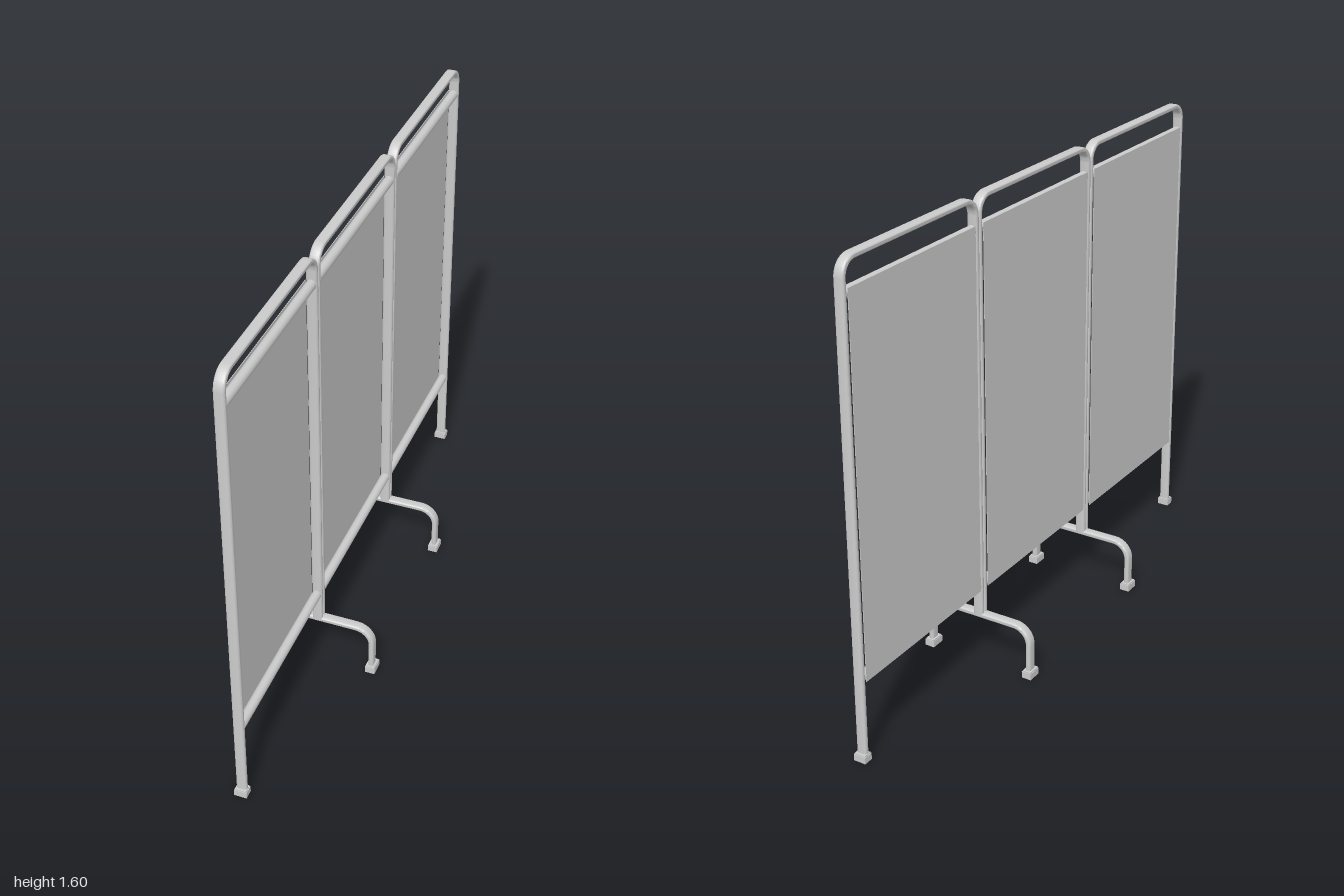
import * as THREE from 'three';
import { toCreasedNormals } from 'three/addons/utils/BufferGeometryUtils.js';

const WIDE = 0.017, THIN = 0.0085; // half sizes of the flat tube
const grey = new THREE.MeshStandardMaterial({ color: 0xcccccc });
const cloth = new THREE.MeshStandardMaterial({ color: 0xcccccc, side: THREE.DoubleSide });

function add(parent, geometry, name, x = 0, y = 0, z = 0, material = grey) {
  const mesh = new THREE.Mesh(geometry, material);
  mesh.name = name;
  mesh.position.set(x, y, z);
  parent.add(mesh);
  return mesh;
}

// Flat tube section with rounded corners: [along x, in the bending plane]
function tubeSection() {
  const r = 0.006, pts = [];
  [[1, 1], [-1, 1], [-1, -1], [1, -1]].forEach(([sx, sy], q) => {
    for (let i = 0; i <= 3; i++) {
      const a = (q + i / 3) * Math.PI / 2;
      pts.push([sx * (WIDE - r) + r * Math.cos(a), sy * (THIN - r) + r * Math.sin(a)]);
    }
  });
  return pts;
}

// Inverted U of flat tube in the zy plane, with its own height for each foot end
function hoop(z0, z1, bottom0, bottom1, top, radius) {
  const path = [[z0, bottom0, 0]]; // z, y, turn angle
  const arc = (cz, from) => {
    for (let i = 0; i <= 10; i++) {
      const t = from + (i / 10) * Math.PI / 2;
      path.push([cz - radius * Math.cos(t), top - radius + radius * Math.sin(t), t]);
    }
  };
  arc(z0 + radius, 0);
  arc(z1 - radius, Math.PI / 2);
  path.push([z1, bottom1, Math.PI]);

  const section = tubeSection(), n = section.length;
  const position = [], index = [];
  for (const [z, y, t] of path) {
    for (const [w, d] of section) position.push(w, y + d * Math.sin(t), z - d * Math.cos(t));
  }
  for (let i = 0; i < path.length - 1; i++) {
    for (let j = 0; j < n; j++) {
      const a = i * n + j, b = i * n + (j + 1) % n;
      index.push(a, a + n, b, b, a + n, b + n);
    }
  }
  // End caps
  const last = (path.length - 1) * n;
  for (let j = 1; j < n - 1; j++) index.push(0, j, j + 1, last, last + j + 1, last + j);

  const g = new THREE.BufferGeometry();
  g.setAttribute('position', new THREE.Float32BufferAttribute(position, 3));
  g.setIndex(index);
  // Make sure the faces point outwards
  const p = position, k = index;
  let volume = 0;
  for (let i = 0; i < k.length; i += 3) {
    const [a, b, c] = [0, 1, 2].map(m => new THREE.Vector3().fromArray(p, k[i + m] * 3));
    volume += a.dot(b.cross(c));
  }
  if (volume < 0) {
    for (let i = 0; i < k.length; i += 3) [k[i], k[i + 1]] = [k[i + 1], k[i]];
    g.setIndex(k);
  }
  return toCreasedNormals(g, 0.7);
}

// Rubber foot: a block with a slightly narrower collar
function foot(parent, x, z, sx, sz) {
  add(parent, new THREE.BoxGeometry(sx, 0.022, sz), 'foot', x, 0.011, z);
  add(parent, new THREE.BoxGeometry(sx - 0.004, 0.004, sz - 0.004), 'footCollar', x, 0.024, z);
}

function panel(name, z0, z1, bottom0, bottom1) {
  const g = new THREE.Group();
  g.name = name;
  add(g, hoop(z0, z1, bottom0, bottom1, 1.587, 0.052), 'frame');
  const mid = (z0 + z1) / 2, inner = z1 - z0 - 2 * THIN;
  // Rods holding the cloth, which hangs on their -x side
  for (const y of [0.289, 1.49]) {
    const rod = new THREE.CylinderGeometry(0.016, 0.016, inner, 24).rotateX(Math.PI / 2);
    add(g, rod, 'clothRod', 0, y, mid);
  }
  add(g, new THREE.BoxGeometry(0.002, 1.233, inner - 0.008), 'cloth', -0.0155, 0.8895, mid, cloth);
  return g;
}

export function createModel() {
  const model = new THREE.Group();
  model.name = 'foldingScreen';

  model.add(panel('frontPanel', 0.34, 0.981, 0.175, 0.01));
  model.add(panel('middlePanel', -0.322, 0.322, 0.175, 0.175));
  model.add(panel('backPanel', -0.981, -0.34, 0.01, 0.175));

  for (const s of [1, -1]) {
    foot(model, 0, s * 0.983, 0.042, 0.033);

    // Bent crosswise stand under each joint
    const stand = new THREE.Group();
    stand.name = 'stand';
    stand.position.z = s * 0.331;
    add(stand, hoop(-0.19, 0.19, 0.01, 0.01, 0.176, 0.058), 'standTube').rotation.y = Math.PI / 2;
    for (const x of [-0.19, 0.19]) foot(stand, x, 0, 0.034, 0.05);
    model.add(stand);
  }
  return model;
}
